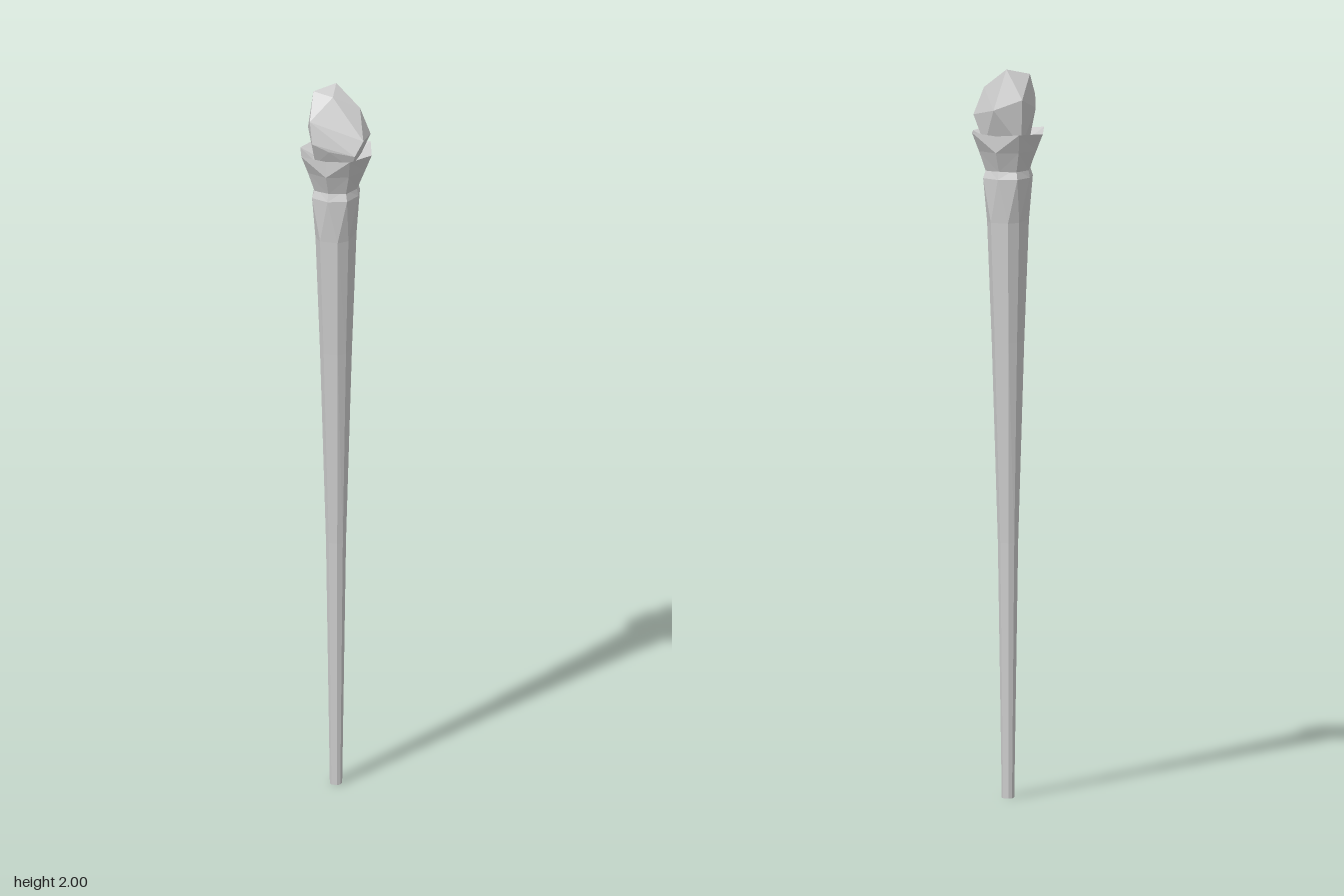
import * as THREE from 'three';
import { ConvexGeometry } from 'three/addons/geometries/ConvexGeometry.js';

const material = new THREE.MeshStandardMaterial({ color: 0xcccccc, flatShading: true });

// Eight corners with one on each axis; the four axis corners may drop below the diagonals.
function axisRing(y, ax, az, dx, dz, drop = 0) {
  const p = [[ax, 0], [dx, dz], [0, az], [-dx, dz], [-ax, 0], [-dx, -dz], [0, -az], [dx, -dz]];
  return { half: false, pts: p.map(([x, z], i) => new THREE.Vector3(x, i % 2 ? y : y - drop, z)) };
}

// Eight corners with a flat facing each axis.
function flatRing(y, px, pz, qx, qz) {
  const p = [[qx, qz], [px, pz], [-px, pz], [-qx, qz], [-qx, -qz], [-px, -pz], [px, -pz], [qx, -qz]];
  return { half: true, pts: p.map(([x, z]) => new THREE.Vector3(x, y, z)) };
}

// Skins rings from bottom to top and closes both ends.
function loft(rings) {
  const tris = [];
  const n = 8;
  for (let k = 0; k < rings.length - 1; k++) {
    const a = rings[k], b = rings[k + 1];
    for (let i = 0; i < n; i++) {
      const j = (i + 1) % n;
      const [a0, a1, b0, b1] = [a.pts[i], a.pts[j], b.pts[i], b.pts[j]];
      // The diagonal follows the half-step between unlike rings, else alternates into diamonds.
      const rising = a.half !== b.half ? a.half : i % 2 === 0;
      if (rising) tris.push(a0, b0, b1, a0, b1, a1);
      else tris.push(a0, b0, a1, a1, b0, b1);
    }
  }
  const centre = (pts) => pts.reduce((s, p) => s.add(p), new THREE.Vector3()).divideScalar(n);
  const low = rings[0].pts, high = rings[rings.length - 1].pts;
  const lowC = centre(low), highC = centre(high);
  for (let i = 0; i < n; i++) {
    const j = (i + 1) % n;
    tris.push(lowC, low[i], low[j], highC, high[j], high[i]);
  }
  const geometry = new THREE.BufferGeometry().setFromPoints(tris);
  geometry.computeVertexNormals();
  return geometry;
}

export function createModel() {
  const group = new THREE.Group();
  const add = (name, geometry) => {
    const mesh = new THREE.Mesh(geometry, material);
    mesh.name = name;
    group.add(mesh);
  };

  // Long tapered shaft flaring into a faceted head
  add('shaft', loft([
    flatRing(0, 0.008, 0.015, 0.015, 0.008),
    flatRing(0.7, 0.012, 0.026, 0.024, 0.014),
    flatRing(1.25, 0.02, 0.046, 0.037, 0.026),
    flatRing(1.58, 0.025, 0.062, 0.047, 0.035),
    axisRing(1.7, 0.064, 0.074, 0.05, 0.056),
    axisRing(1.73, 0.058, 0.064, 0.043, 0.047),
  ]));

  // Flared cup with raised corners and a hollow top
  add('collar', loft([
    axisRing(1.72, 0.06, 0.066, 0.045, 0.05),
    axisRing(1.775, 0.083, 0.088, 0.058, 0.066),
    axisRing(1.828, 0.102, 0.087, 0.069, 0.09, 0.007),
    axisRing(1.805, 0.065, 0.06, 0.048, 0.046),
  ]));

  // Irregular cut crystal seated in the cup
  const crystal = [
    [-0.015, 2.0, -0.048], [-0.066, 1.985, -0.005], [-0.005, 1.98, 0.012], [0.06, 1.945, -0.025],
    [-0.066, 1.92, -0.06], [0.01, 1.89, -0.08], [0.087, 1.87, -0.035], [0.088, 1.87, 0.03],
    [-0.055, 1.92, 0.06], [-0.045, 1.86, 0.07], [0.0, 1.84, 0.062], [0.07, 1.83, 0.05],
    [-0.075, 1.89, 0.015], [-0.055, 1.79, -0.04], [-0.045, 1.79, 0.04],
    [0.05, 1.79, -0.045], [0.055, 1.79, 0.035],
  ];
  add('crystal', new ConvexGeometry(crystal.map((p) => new THREE.Vector3(...p))));

  return group;
}
